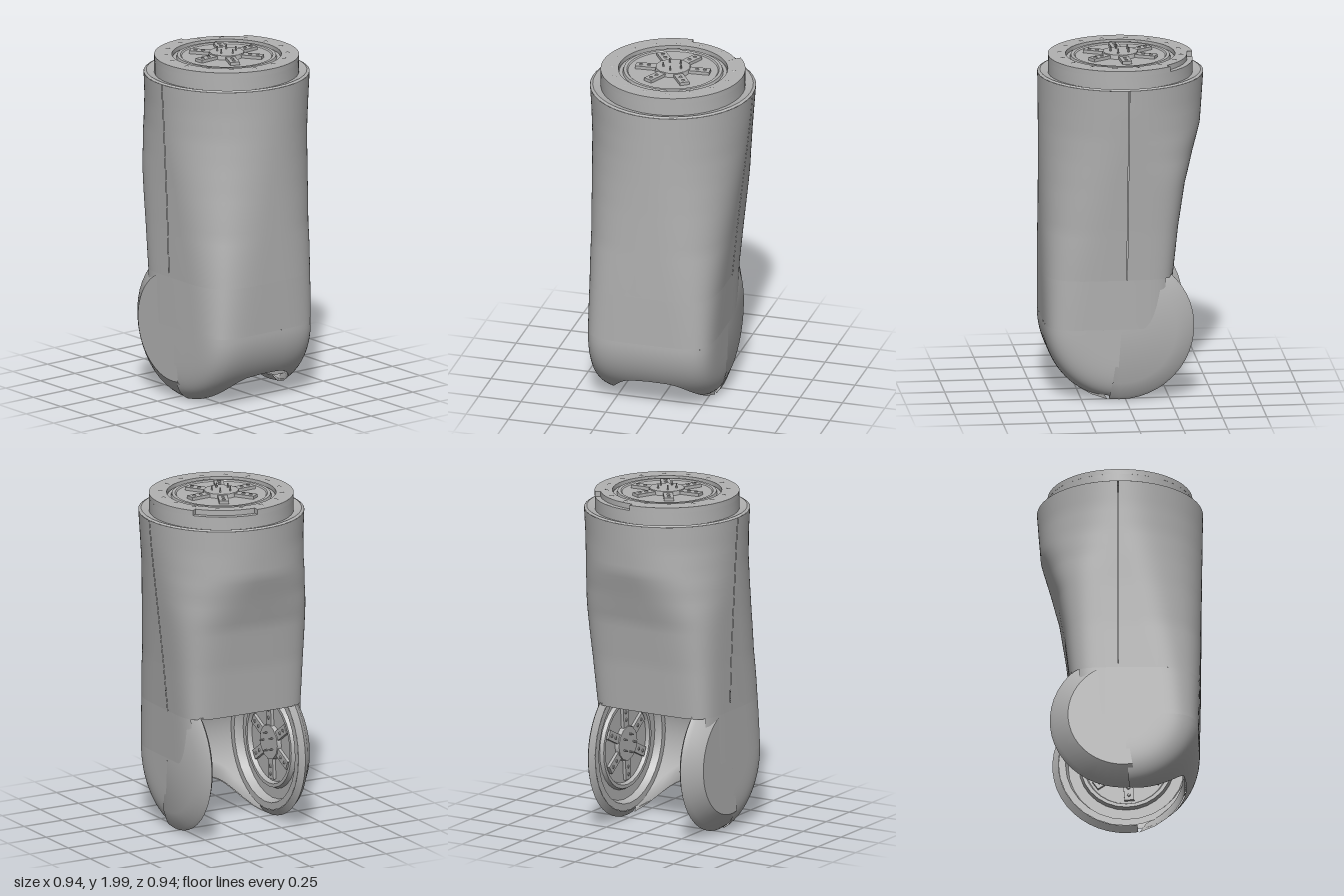
import * as THREE from 'three';
import { toCreasedNormals } from 'three/addons/utils/BufferGeometryUtils.js';

const { sin, cos, acos, abs, sign, pow, PI, min } = Math;
const AXIS = { x: 0.03, y: 0.43 }; // joint axis of the fork

// Body by height: y, left x, right x, front z, back z, squareness on the -x side and on the +x side
const KEYS = [
  [0.43, -0.28, 0.45, 0.415, -0.335, 6, 5],
  [0.72, -0.28, 0.457, 0.416, -0.35, 6, 3.8],
  [1.0, -0.31, 0.46, 0.425, -0.377, 5.3, 2.8],
  [1.25, -0.35, 0.462, 0.436, -0.405, 4.3, 2.35],
  [1.42, -0.40, 0.464, 0.445, -0.425, 3, 2.15],
  [1.57, -0.448, 0.466, 0.452, -0.442, 2.3, 2.05],
  [1.72, -0.46, 0.468, 0.46, -0.458, 2.08, 2],
  [1.86, -0.47, 0.47, 0.47, -0.47, 2, 2],
];

// Centre, half sizes and squareness of the body at height y
function measure(y) {
  let i = 0;
  while (i < KEYS.length - 2 && y > KEYS[i + 1][0]) i++;
  const a = KEYS[i], b = KEYS[i + 1];
  const t = (y - a[0]) / (b[0] - a[0]);
  const [, xl, xr, zf, zb, nl, nr] = a.map((v, k) => v + (b[k] - v) * t);
  return { cx: (xl + xr) / 2, hx: (xr - xl) / 2, cz: (zf + zb) / 2, hz: (zf - zb) / 2, nl, nr };
}

function section(theta, y) {
  const { cx, hx, cz, hz, nl, nr } = measure(y);
  const c = cos(theta), s = sin(theta);
  const n = c < 0 ? nl : nr;
  return {
    x: cx + hx * sign(c) * pow(abs(c), 2 / n),
    z: cz + hz * sign(s) * pow(abs(s), 2 / n),
  };
}

// Angle at which the section crosses a given x
function angleAt(x, y) {
  const { cx, hx, nl, nr } = measure(y);
  const k = (x - cx) / hx;
  return acos(sign(k) * pow(abs(k), (k < 0 ? nl : nr) / 2));
}

// Surface from a rule over u, v in 0..1
function surface(nu, nv, rule) {
  const g = new THREE.PlaneGeometry(1, 1, nu, nv);
  const p = g.attributes.position;
  for (let i = 0; i < p.count; i++) p.setXYZ(i, ...rule(p.getX(i) + 0.5, p.getY(i) + 0.5));
  g.computeVertexNormals();
  return g;
}

// Wall between two heights; range gives the start and end angle at each height
const loft = (range, y0, y1, nu, nv) => surface(nu, nv, (u, v) => {
  const y = y0 + (y1 - y0) * v;
  const [a, b] = range(y);
  const q = section(a + (b - a) * u, y);
  return [q.x, y, q.z];
});

// Arched lower edge of the closed side of the fork
const archEnd = (z) => -(0.65 + 0.85 * pow(min(1, abs((z - 0.02) / 0.31)), 4));

export function createModel() {
  const model = new THREE.Group();
  const gray = new THREE.MeshStandardMaterial({ color: 0xb2b2b2, side: THREE.DoubleSide });
  gray.name = 'plain gray';

  const add = (parent, name, geometry) => {
    const m = new THREE.Mesh(geometry, gray);
    m.name = name;
    parent.add(m);
    return m;
  };
  const lathe = (points, sides = 32, start = 0, length = PI * 2) => toCreasedNormals(
    new THREE.LatheGeometry(points.map(([r, y]) => new THREE.Vector2(r, y)), sides, start, length), 0.5);

  // Two shell halves with a straight hairline seam at front and back
  add(model, 'leftShell', loft((y) => {
    const a = angleAt(0.002, y);
    return [-a, a];
  }, 0.72, 1.86, 64, 32));
  add(model, 'rightShell', loft((y) => {
    const a = angleAt(-0.002, y);
    return [a, PI * 2 - a];
  }, 0.72, 1.86, 64, 32));
  add(model, 'seamBacking', new THREE.BoxGeometry(0.03, 1.05, 0.72)).position.set(0, 1.3, 0.03);

  // Lower wall, rolling under around the joint axis
  add(model, 'lowerWall', loft(() => [-2.2, 2.2], 0.43, 0.72, 64, 8));
  add(model, 'rolledWall', surface(64, 16, (u, v) => {
    const q = section((u - 0.5) * 3.15, 0.43);
    const phi = archEnd(q.z) * (1 - v);
    const r = (q.x - AXIS.x) * (1 - 0.045 * phi);
    return [AXIS.x + r * cos(phi), AXIS.y + r * sin(phi), q.z];
  }));

  // Concave socket between the fork ears
  add(model, 'socket', surface(24, 30, (u, v) => {
    const z = -0.28 + 0.61 * u;
    const start = archEnd(z);
    const phi = start + (2.35 - start) * v;
    const r = v < 0.01 || v > 0.99 ? 0.425 : 0.38;
    return [AXIS.x + r * cos(phi), AXIS.y + r * sin(phi), z];
  }));

  // Hub with six spokes, each carrying two small studs
  const hub = (name) => {
    const g = new THREE.Group();
    g.name = name;
    add(g, 'hubDisc', new THREE.CylinderGeometry(0.1, 0.105, 0.024, 12)).position.y = 0.012;
    for (let i = 0; i < 6; i++) {
      const arm = new THREE.Group();
      arm.name = 'spoke';
      arm.rotation.y = i * PI / 3 + 0.6;
      add(arm, 'spokeBar', new THREE.BoxGeometry(0.125, 0.018, 0.055)).position.set(0.152, 0.009, 0);
      for (const x of [0.14, 0.185]) {
        add(arm, 'spokeStud', new THREE.CylinderGeometry(0.008, 0.012, 0.006, 5)).position.set(x, 0.02, 0);
      }
      g.add(arm);
    }
    for (let i = 0; i < 5; i++) {
      add(g, 'hubStud', new THREE.CylinderGeometry(0.004, 0.006, 0.026, 4))
        .position.set(0.055 * cos(i * 1.257), 0.037, 0.055 * sin(i * 1.257));
    }
    model.add(g);
    return g;
  };

  // Fork ears: bevelled outer half, blending into the wall, and a recessed inner disc
  const ears = [
    ['frontEar', 0.414, 0.325, 0.3, 0.35, -PI / 2],
    ['backEar', -0.334, -0.285, -0.26, -0.3, PI / 2],
  ];
  for (const [name, face, rim, inner, recess, turn] of ears) {
    const outer = lathe([
      [0, face], [0.315, face], [0.4, rim + (face - rim) * 0.3], [0.42, rim], [0.385, inner],
    ], 24, PI, PI + 0.16);
    const lining = lathe([
      [0.385, inner], [0.345, inner], [0.33, recess], [0.27, recess], [0.26, (recess + inner) / 2],
      [0.24, (recess + inner) / 2], [0.23, recess], [0, recess],
    ], 28);
    for (const [part, geometry] of [['Shell', outer], ['Lining', lining]]) {
      const m = add(model, name + part, geometry);
      m.rotation.x = PI / 2;
      m.position.set(AXIS.x, AXIS.y, 0);
    }
    const h = hub(name + 'Hub');
    h.rotation.x = turn;
    h.position.set(AXIS.x, AXIS.y, recess);
  }

  // Stepped cap on top
  add(model, 'topCap', lathe([
    [0.47, 1.86], [0.455, 1.868], [0.43, 1.86], [0.41, 1.855], [0.41, 1.93], [0.315, 1.93],
    [0.305, 1.94], [0.285, 1.94], [0.28, 1.955], [0.262, 1.955], [0.255, 1.948], [0, 1.948],
  ], 40));

  // Raised ring, narrower at the rim over one arc
  const ring = new THREE.Group();
  ring.name = 'topRing';
  model.add(ring);
  for (const [a, b, r] of [[PI, PI + 0.92, 0.378], [PI + 0.92, PI * 3, 0.41]]) {
    const s = new THREE.Shape();
    s.absarc(0, 0, r, a, b, false);
    s.absarc(0, 0, 0.31, b, a, true);
    const g = new THREE.ExtrudeGeometry(s, { depth: 0.03, bevelEnabled: false, curveSegments: 32 });
    g.rotateX(PI / 2); // shape y becomes +z
    add(ring, 'ringArc', toCreasedNormals(g, 0.5)).position.y = 1.96;
  }
  for (let i = 0; i < 16; i++) {
    const a = (i + 0.5) * PI / 8;
    const stud = add(ring, 'ringStud', new THREE.CylinderGeometry(0.012, 0.018, 0.004, 3));
    stud.position.set(0.345 * cos(a), 1.961, 0.345 * sin(a));
    stud.rotation.y = i * 1.3;
  }
  hub('topHub').position.y = 1.95;

  return model;
}
